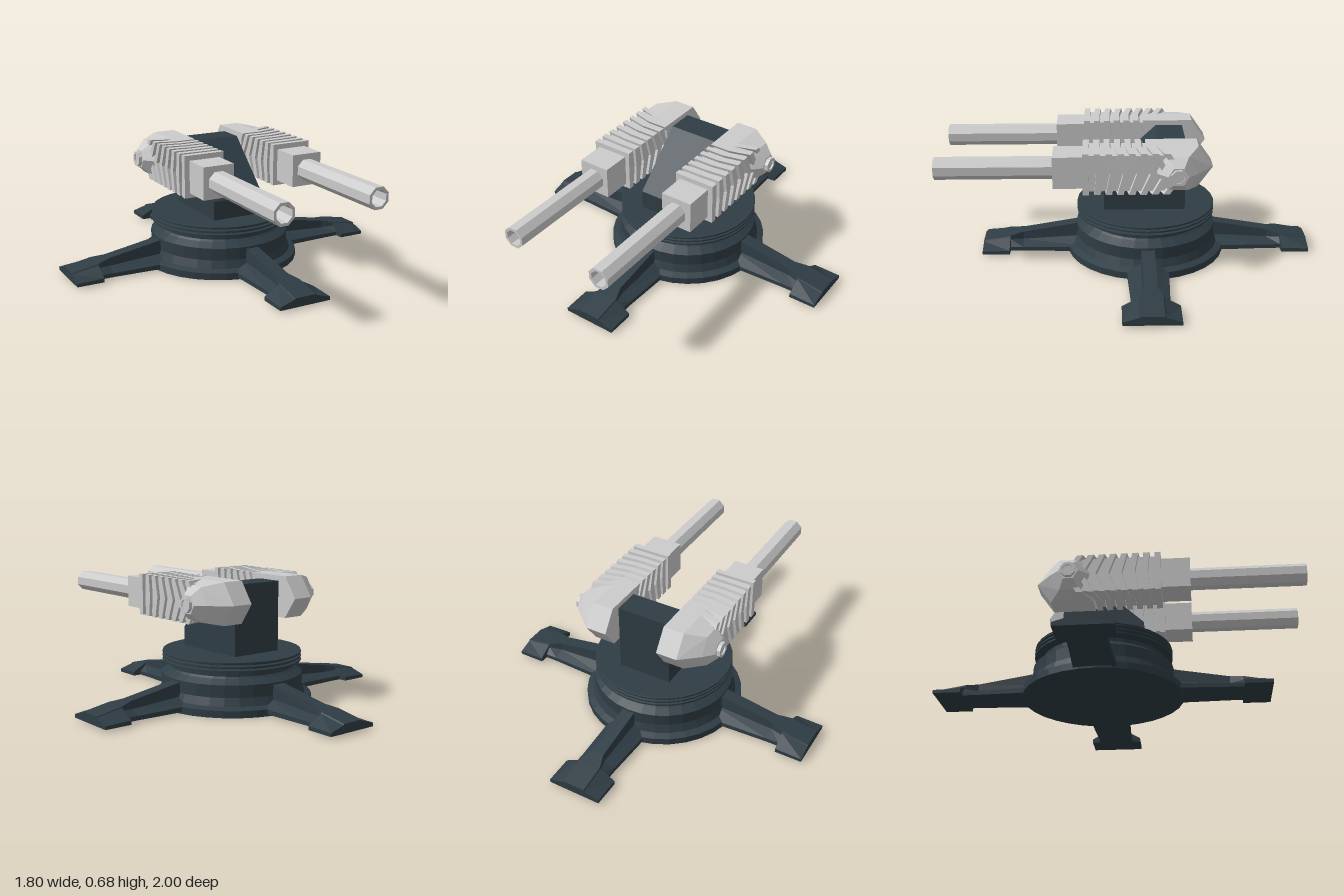
import * as THREE from 'three';
import { ConvexGeometry } from 'three/addons/geometries/ConvexGeometry.js';

const dark = new THREE.MeshStandardMaterial({ color: 0x2f3d45, flatShading: true });
const grey = new THREE.MeshStandardMaterial({ color: 0xcccccc, flatShading: true });

const BASE_Z = -0.1;            // centre of the base
const GUN_X = 0.26, GUN_Y = 0.578;

function add(parent, name, geometry, material) {
  const mesh = new THREE.Mesh(geometry, material);
  mesh.name = name;
  parent.add(mesh);
  return mesh;
}

const lathe = (points, sides, start = 0) =>
  new THREE.LatheGeometry(points.map(([r, y]) => new THREE.Vector2(r, y)), sides, start);

// Extrudes a (z, y) side profile along x from x0 to x1
function sideExtrude(profile, x0, x1, steps = 1) {
  const shape = new THREE.Shape(profile.map(([z, y]) => new THREE.Vector2(z, y)));
  const g = new THREE.ExtrudeGeometry(shape, { depth: x1 - x0, steps, bevelEnabled: false });
  return g.rotateY(-Math.PI / 2).translate(x1, 0, 0);
}

// Skins matching counter-clockwise (x, y) sections placed along +z, with end caps
function loft(sections) {
  const n = sections[0].points.length;
  const pos = [], index = [];
  for (const { z, points } of sections) for (const [x, y] of points) pos.push(x, y, z);
  for (let s = 0; s < sections.length - 1; s++) {
    for (let i = 0; i < n; i++) {
      const a = s * n + i, b = s * n + (i + 1) % n;
      index.push(a, b, b + n, a, b + n, a + n);
    }
  }
  const last = (sections.length - 1) * n;
  const cap = THREE.ShapeUtils.triangulateShape(
    sections[sections.length - 1].points.map(([x, y]) => new THREE.Vector2(x, y)), []);
  for (const [a, b, c] of cap) index.push(last + a, last + b, last + c, a, c, b);
  const g = new THREE.BufferGeometry();
  g.setAttribute('position', new THREE.Float32BufferAttribute(pos, 3));
  g.setIndex(index);
  g.computeVertexNormals();
  return g;
}

// Leg section: thin flange of half width w with a raised central ridge
function legSection(z, w, edge, ridge, foot, top) {
  const half = [[w, 0.018], [w, edge], [ridge + 0.004, foot], [ridge, top]];
  const mirrored = half.map(([x, y]) => [-x, y]).reverse();
  return { z, points: [...half, ...mirrored] };
}

function legGeometry() {
  return loft([
    legSection(0.3, 0.115, 0.045, 0.035, 0.085, 0.168),
    legSection(0.68, 0.098, 0.04, 0.035, 0.062, 0.104),
    legSection(0.75, 0.098, 0.04, 0.06, 0.07, 0.092),
    legSection(0.752, 0.145, 0.04, 0.06, 0.085, 0.092),
    legSection(0.9, 0.145, 0.036, 0.06, 0.06, 0.066),
  ]);
}

function createBase() {
  const base = new THREE.Group();
  base.name = 'base';
  base.position.z = BASE_Z;

  // Foot flange and lower drum
  add(base, 'lowerDrum', lathe([
    [0, 0.008], [0.435, 0.008], [0.435, 0.045], [0.4, 0.058], [0.383, 0.1],
    [0.383, 0.165], [0.345, 0.19], [0.335, 0.2], [0, 0.2],
  ], 32), dark);

  // Grooved turntable
  const rim = [[0, 0.19], [0.335, 0.19], [0.335, 0.222]];
  for (let i = 0; i < 3; i++) {
    const y = 0.226 + i * 0.021;
    rim.push([0.362, y], [0.377, y + 0.004], [0.377, y + 0.013], [0.362, y + 0.017]);
  }
  rim.push([0.375, 0.286], [0, 0.286]);
  add(base, 'turntable', lathe(rim, 32), dark);

  // Four splayed legs
  const leg = legGeometry();
  for (let i = 0; i < 4; i++) add(base, 'leg', leg, dark).rotation.y = i * Math.PI / 2;
  return base;
}

// Faceted housing behind the bellows, domed towards the outside
function headGeometry() {
  const pts = [];
  for (const x of [0.15, 0.265]) {
    for (const [z, y] of [[-0.1, 0.69], [-0.36, 0.69], [-0.437, GUN_Y], [-0.36, 0.468], [-0.13, 0.468]]) {
      pts.push(new THREE.Vector3(x, y, z));
    }
  }
  for (const [x, r] of [[0.365, 0.103], [0.412, 0.053]]) {
    for (let i = 0; i < 6; i++) {
      const a = i * Math.PI / 3;
      pts.push(new THREE.Vector3(x, GUN_Y + r * Math.sin(a), -0.25 + r * Math.cos(a)));
    }
  }
  return new ConvexGeometry(pts);
}

// One bellows rib: a chevron plate, more strongly bent towards the rear
function ribGeometry(i, count) {
  const bend = i / (count - 1);
  const z = 0.236 - i * 0.054, t = 0.032, dip = 0.07 * bend;
  const lo = GUN_Y - 0.11, hi = GUN_Y + 0.112;
  const g = sideExtrude([
    [z - t, lo], [z, lo], [z - dip, GUN_Y], [z, hi], [z - t, hi], [z - t - dip, GUN_Y],
  ], 0.15, 0.373, 2);
  // Sweep the outer half backwards
  const p = g.attributes.position;
  for (let k = 0; k < p.count; k++) {
    const out = Math.max(0, (p.getX(k) - 0.262) / 0.111);
    p.setZ(k, p.getZ(k) - 0.035 * bend * out);
  }
  g.computeVertexNormals();
  return g;
}

function createGun(side) {
  const gun = new THREE.Group();
  gun.name = side > 0 ? 'leftGun' : 'rightGun';
  gun.scale.x = side;

  add(gun, 'housing', headGeometry(), grey);

  // Hexagonal pivot with a recessed end
  const pivot = add(gun, 'pivot', lathe([
    [0.042, -0.03], [0.042, 0.02], [0.027, 0.02], [0.027, 0.012], [0, 0.012],
  ], 8, Math.PI / 8), grey);
  pivot.rotation.z = -Math.PI / 2;
  pivot.position.set(0.411, GUN_Y, -0.25);

  // Bellows core and ribs
  add(gun, 'bellowsCore', new THREE.BoxGeometry(0.19, 0.192, 0.45), grey)
    .position.set(GUN_X, GUN_Y, 0.005);
  const count = 8;
  for (let i = 0; i < count; i++) add(gun, 'bellowsRib', ribGeometry(i, count), grey);

  // Barrel block and hollow octagonal barrel
  add(gun, 'barrelBlock', new THREE.BoxGeometry(0.17, 0.17, 0.19), grey)
    .position.set(GUN_X, GUN_Y, 0.295);
  const barrel = add(gun, 'barrel', lathe([
    [0.059, 0.37], [0.059, 1], [0.044, 1], [0.044, 0.85], [0, 0.85],
  ], 8, Math.PI / 8), grey);
  barrel.rotation.x = Math.PI / 2;
  barrel.position.set(GUN_X, GUN_Y, 0);
  return gun;
}

export function createModel() {
  const model = new THREE.Group();
  model.name = 'twinGunTurret';
  model.add(createBase());

  // Central pillar with a sloping front
  add(model, 'pillar', sideExtrude([
    [-0.307, 0.28], [0.13, 0.28], [0.13, 0.39], [-0.16, 0.662], [-0.307, 0.662],
  ], -0.15, 0.15), dark);

  for (const side of [1, -1]) model.add(createGun(side));
  return model;
}
